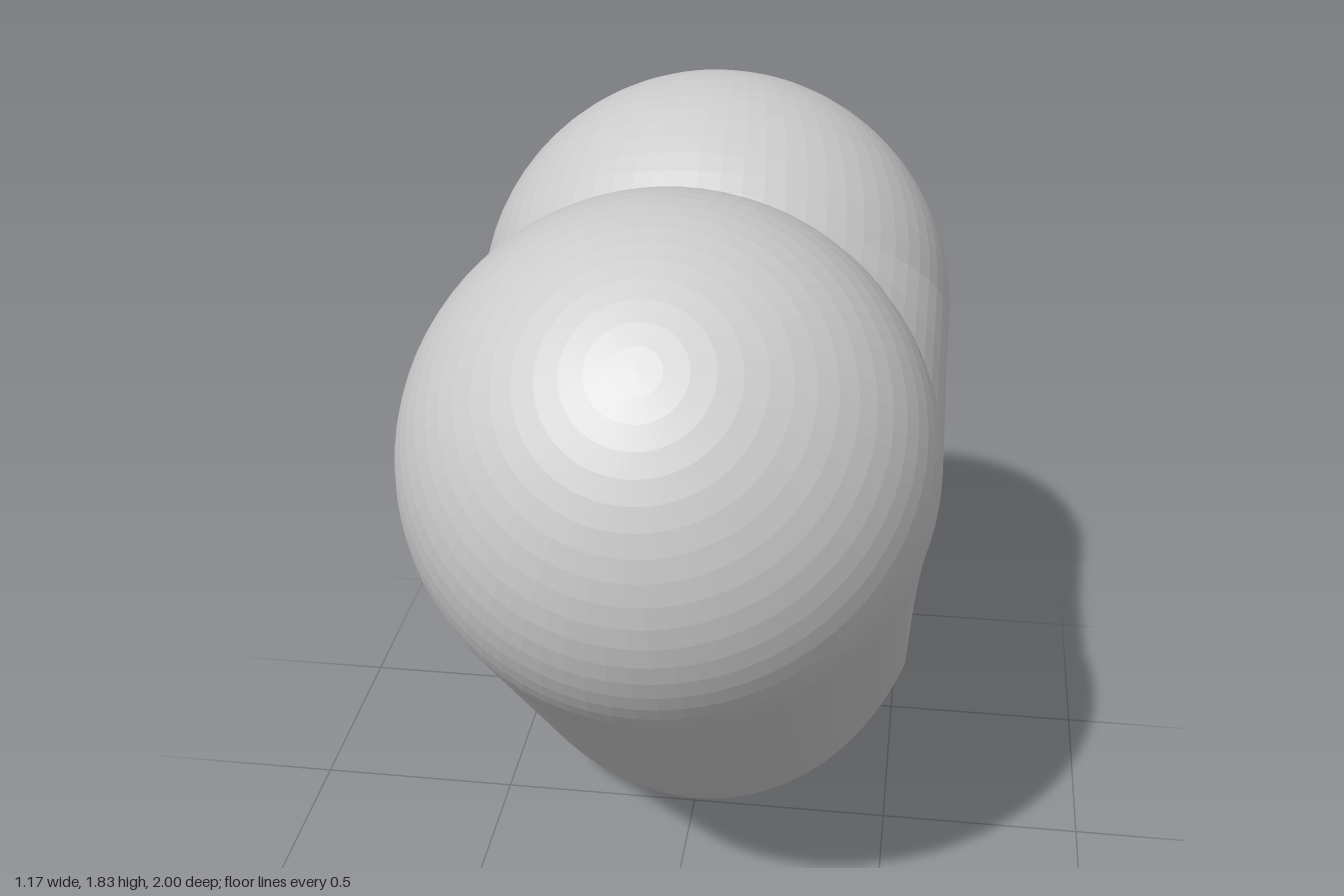
import * as THREE from 'three';

const R = 0.5858;          // lobe radius
const H = R / Math.SQRT2;  // lobe centre sits at z = H, y = 3H
const SEG = 72, CAP_ROWS = 18, BODY_ROWS = 6;
const PANEL = Math.sin(THREE.MathUtils.degToRad(25)); // lower limit of the flat side panel

// Cross-section where the two lobes meet (z = 0)
function middlePoint(c, s) {
  if (s < 0) return new THREE.Vector3(R * c, 3 * H - H * s, 0).setY(1.225 - (4 * H - 1.225) * s);
  const lowX = Math.sqrt(1 - PANEL * PANEL) * R, lowY = 2 * H * (1 - PANEL);
  if (s < PANEL) {
    const t = s / PANEL;
    const x = THREE.MathUtils.lerp(R - 0.002, lowX, t);
    return new THREE.Vector3(Math.sign(c) * x, THREE.MathUtils.lerp(1.225, lowY, t), 0);
  }
  return new THREE.Vector3(R * c, 2 * H * (1 - s), 0);
}

// One lobe: a tilted dome running down into the middle cross-section
function lobeGeometry() {
  const k = Math.SQRT1_2;
  const centre = new THREE.Vector3(0, 3 * H, H);
  const across = new THREE.Vector3(1, 0, 0);
  const under = new THREE.Vector3(0, -k, k);
  const axis = new THREE.Vector3(0, k, k);
  const rows = CAP_ROWS + BODY_ROWS, pos = [], index = [];

  for (let i = 0; i <= rows; i++) {
    for (let j = 0; j <= SEG; j++) {
      const a = (j / SEG) * Math.PI * 2, c = Math.cos(a), s = Math.sin(a);
      const lat = Math.min(i / CAP_ROWS, 1) * Math.PI / 2;
      const p = centre.clone()
        .addScaledVector(axis, R * Math.cos(lat))
        .addScaledVector(across, R * Math.sin(lat) * c)
        .addScaledVector(under, R * Math.sin(lat) * s);
      if (i > CAP_ROWS) p.lerp(middlePoint(c, s), (i - CAP_ROWS) / BODY_ROWS);
      pos.push(p.x, p.y, p.z);
    }
  }
  for (let i = 0; i < rows; i++) {
    for (let j = 0; j < SEG; j++) {
      const a = i * (SEG + 1) + j, b = a + 1, d = a + SEG + 1, e = d + 1;
      if (i > 0) index.push(a, b, d);
      index.push(b, e, d);
    }
  }
  const indexed = new THREE.BufferGeometry();
  indexed.setAttribute('position', new THREE.Float32BufferAttribute(pos, 3));
  indexed.setIndex(index);
  const geometry = indexed.toNonIndexed();
  geometry.computeVertexNormals();
  return geometry;
}

export function createModel() {
  const model = new THREE.Group();
  model.name = 'heart';
  const material = new THREE.MeshStandardMaterial({ color: 0xcccccc, flatShading: true });
  const geometry = lobeGeometry();

  // Slight lean of the whole heart about its middle
  const heart = new THREE.Group();
  heart.name = 'heartBody';
  heart.position.y = 0.92;
  heart.rotation.x = 0.01;
  model.add(heart);

  // Two matching lobes, front and back
  ['frontLobe', 'backLobe'].forEach((name, i) => {
    const lobe = new THREE.Mesh(geometry, material);
    lobe.name = name;
    lobe.position.y = -0.92;
    lobe.rotation.y = i * Math.PI;
    heart.add(lobe);
  });
  return model;
}
